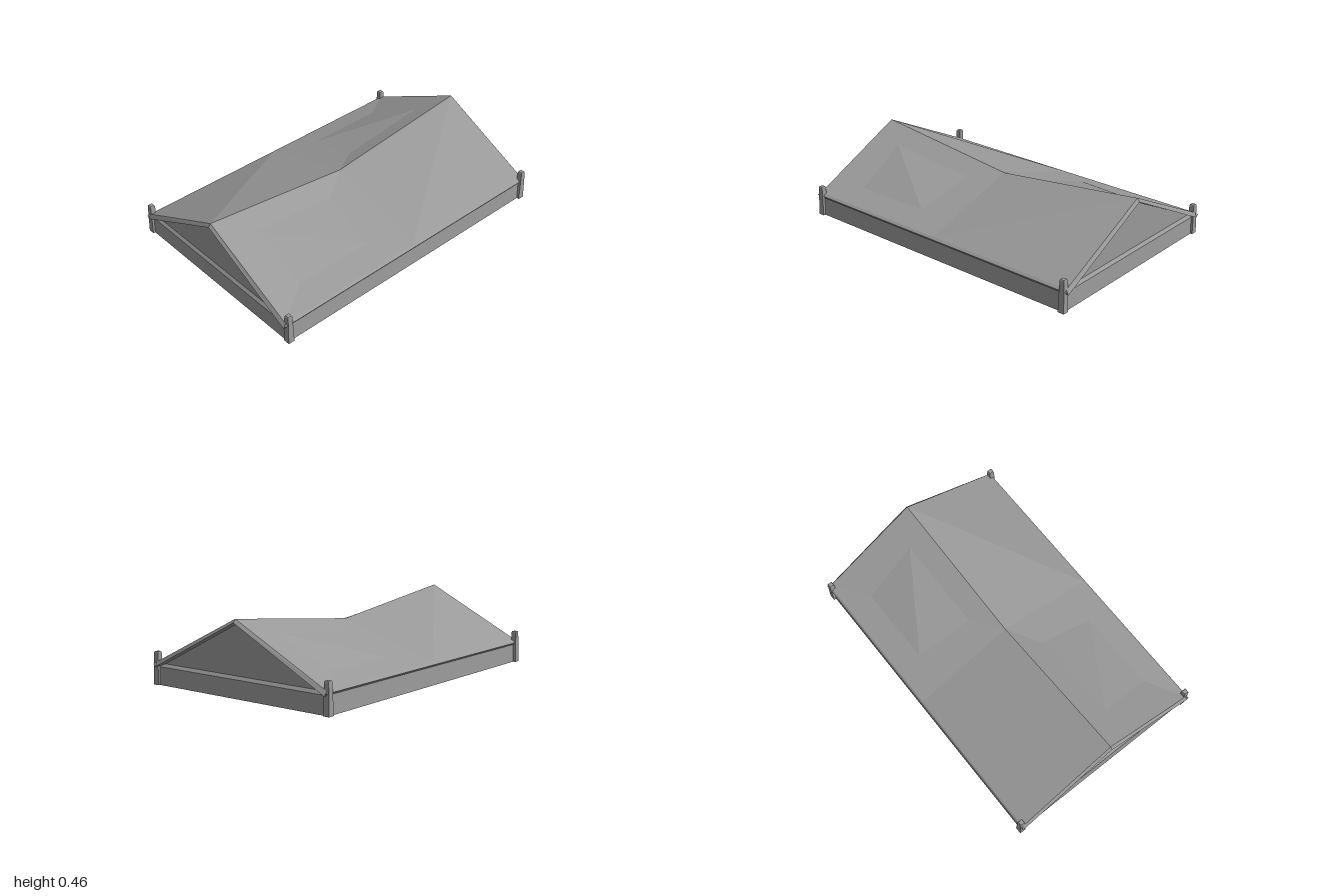
import * as THREE from 'three';

export function createModel() {
  const group = new THREE.Group();
  group.name = 'saggingRoof';
  const grey = new THREE.MeshStandardMaterial({ color: 0x999999, flatShading: true, side: THREE.DoubleSide });
  grey.name = 'weathered grey';

  function add(name, geometry, x = 0, y = 0, z = 0) {
    const mesh = new THREE.Mesh(geometry, grey);
    mesh.name = name;
    mesh.position.set(x, y, z);
    group.add(mesh);
  }

  // Flat sheet fanned from its first corner
  function sheet(name, corners) {
    const points = [];
    for (let i = 1; i < corners.length - 1; i++) points.push(corners[0], corners[i], corners[i + 1]);
    const geometry = new THREE.BufferGeometry();
    geometry.setAttribute('position', new THREE.Float32BufferAttribute(points.flat(), 3));
    geometry.computeVertexNormals();
    add(name, geometry);
  }

  // Roof shell: three cross-sections with bevelled eaves, the ridge sagging in the middle
  const positions = [];
  const index = [];
  for (const [x, ridge] of [[-1, 0.456], [0, 0.341], [1, 0.456]]) {
    const t = x * 0.985; // top surface is slightly shorter, so the rake edges lean out
    positions.push(
      t, 0.14, 0.642, t, ridge, 0, t, 0.137, -0.649, x, 0.126, -0.66,
      x, 0.11, -0.643, x, ridge - 0.021, 0, x, 0.11, 0.643, x, 0.128, 0.656
    );
  }
  for (let i = 0; i < 2; i++) {
    for (let j = 0; j < 8; j++) {
      const a = i * 8 + j, b = i * 8 + (j + 1) % 8, c = a + 8, d = b + 8;
      index.push(a, c, d, a, d, b);
    }
  }
  // Rake edges closing both ends
  for (const [p, q, r] of [[1, 0, 6], [1, 6, 5], [2, 1, 5], [2, 5, 4], [0, 7, 6], [4, 3, 2]]) {
    index.push(p + 16, q + 16, r + 16, p, r, q);
  }
  const shell = new THREE.BufferGeometry();
  shell.setAttribute('position', new THREE.Float32BufferAttribute(positions, 3));
  shell.setIndex(index);
  const roof = shell.toNonIndexed();
  roof.computeVertexNormals();
  add('roof', roof);

  // Thin walls leaning slightly inward, gables set back above a sloping ledge
  for (const s of [1, -1]) {
    const side = s > 0 ? 'left' : 'right';
    const bottom = s * 0.977, top = s * 0.972, back = s * 0.958;
    sheet(side + 'Wall', [[bottom, 0, 0.65 * s], [bottom, 0, -0.65 * s], [top, 0.109, -0.645 * s], [top, 0.109, 0.645 * s]]);
    sheet(side + 'Ledge', [[top, 0.109, 0.645 * s], [top, 0.109, -0.645 * s], [back, 0.128, -0.607 * s], [back, 0.128, 0.607 * s]]);
    sheet(side + 'Gable', [[back, 0.128, 0.607 * s], [back, 0.128, -0.607 * s], [back, 0.43, 0]]);
    sheet(s > 0 ? 'frontWall' : 'backWall', [
      [-0.977 * s, 0, s * 0.652], [0.977 * s, 0, s * 0.652], [0.972 * s, 0.119, s * 0.645], [-0.972 * s, 0.119, s * 0.645]
    ]);
  }

  // Tapered corner posts with small bevelled tops
  const taper = (top, bottom, height) =>
    new THREE.CylinderGeometry(top * Math.SQRT2, bottom * Math.SQRT2, height, 4, 1).rotateY(Math.PI / 4);
  const posts = [
    ['frontLeftPost', 0.969, 0.648, 0.2],
    ['frontRightPost', -0.965, 0.646, 0.19],
    ['backLeftPost', 0.969, -0.646, 0.19],
    ['backRightPost', -0.97, -0.648, 0.2]
  ];
  for (const [name, x, z, h] of posts) {
    add(name, taper(0.0155, 0.0205, h - 0.006), x, (h - 0.006) / 2, z);
    add(name + 'Cap', taper(0.0125, 0.0155, 0.006), x, h - 0.003, z);
  }
  return group;
}
